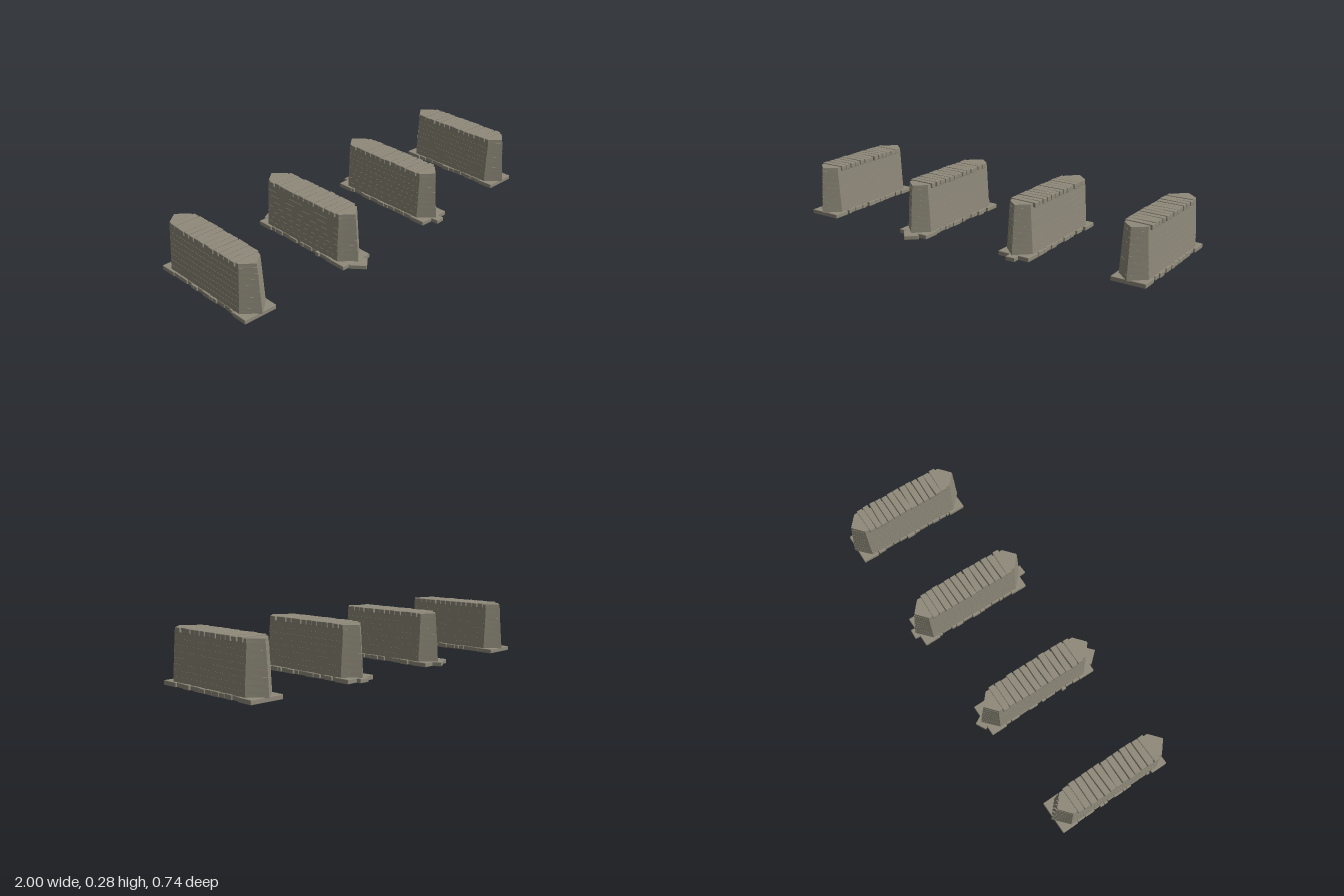
import * as THREE from 'three';
import { RoundedBoxGeometry } from 'three/addons/geometries/RoundedBoxGeometry.js';

const stone = new THREE.MeshStandardMaterial({ color: 0x8f8a7a });
stone.name = 'weathered stone';

// Small seeded generator for uneven masonry
let seed = 7;
const rand = (a, b) => {
  seed = (seed * 16807) % 2147483647;
  return a + (b - a) * (seed / 2147483647);
};

function add(parent, name, geometry, x = 0, y = 0, z = 0, turn = 0) {
  const mesh = new THREE.Mesh(geometry, stone);
  mesh.name = name;
  mesh.position.set(x, y, z);
  mesh.rotation.y = turn;
  parent.add(mesh);
  return mesh;
}

// Prism from a plan outline, its top narrowed in x and z
function taperedPrism(points, height, scaleX = 1, scaleZ = 1) {
  const shape = new THREE.Shape(points.map(([x, z]) => new THREE.Vector2(x, -z)));
  const geo = new THREE.ExtrudeGeometry(shape, { depth: height, bevelEnabled: false });
  geo.rotateX(-Math.PI / 2);
  const p = geo.attributes.position;
  for (let i = 0; i < p.count; i++) {
    if (p.getY(i) > height / 2) {
      p.setX(i, p.getX(i) * scaleX);
      p.setZ(i, p.getZ(i) * scaleZ);
    }
  }
  geo.computeVertexNormals();
  return geo;
}

// Long hexagon with a pointed nose at each end
const hexagon = (w, shoulder, tip) => [
  [0, tip], [w, shoulder], [w, -shoulder], [0, -tip], [-w, -shoulder], [-w, shoulder],
];

function createPier(extraSlabs) {
  const pier = new THREE.Group();

  // Battered body: courses that step in slightly as they rise
  const courses = 8, y0 = 0.02, y1 = 0.25, h = (y1 - y0) / courses;
  for (let i = 0; i < courses; i++) {
    const t = i / courses;
    const w = 0.075 - 0.015 * t;
    const tip = 0.329 - 0.018 * t;
    add(pier, 'bodyCourse', taperedPrism(hexagon(w, 0.26, tip), h, 0.985, 0.997), 0, y0 + i * h, 0);
  }

  // Pointed stones closing the top at both noses
  for (const s of [1, -1]) {
    const nose = [[0, 0.31], [0.061, 0.258], [0.061, 0.2], [-0.061, 0.2], [-0.061, 0.258]];
    add(pier, 'noseStone', taperedPrism(nose, 0.02, 0.98, 0.997), 0, 0.25, 0, s > 0 ? 0 : Math.PI);
  }

  // Row of uneven coping stones across the top
  const caps = 13, pitch = 0.0368;
  for (let i = 0; i < caps; i++) {
    const geo = new RoundedBoxGeometry(rand(0.136, 0.146), rand(0.023, 0.027), rand(0.031, 0.035), 1, 0.003);
    add(pier, 'copingStone', geo, rand(-0.002, 0.002), 0.2625, (i - (caps - 1) / 2) * pitch, rand(-0.04, 0.04));
  }

  // Footing of slabs laid crosswise, with a broad one at each end
  for (const s of [1, -1]) {
    add(pier, 'footingEndSlab', new RoundedBoxGeometry(0.176, 0.023, 0.09, 1, 0.003), 0, 0.0115, s * 0.272, rand(-0.02, 0.02));
  }
  let z = -0.226;
  while (z < 0.21) {
    const d = Math.min(rand(0.02, 0.06), 0.226 - z);
    const geo = new RoundedBoxGeometry(rand(0.157, 0.174), rand(0.021, 0.025), d - 0.002, 1, 0.003);
    add(pier, 'footingSlab', geo, rand(-0.004, 0.004), 0.012, z + d / 2, rand(-0.015, 0.015));
    z += d;
  }

  // Loose slabs poking out under the noses
  for (const [x, zc, w, d, turn] of extraSlabs) {
    add(pier, 'looseSlab', new RoundedBoxGeometry(w, 0.022, d, 1, 0.003), x, 0.011, zc, turn);
  }
  return pier;
}

export function createModel() {
  const model = new THREE.Group();
  model.name = 'bridgePiers';

  // Position x, z, turn, and loose slabs (x, z, width, depth, turn)
  const layout = [
    [-0.906, -0.018, -0.034, []],
    [-0.3, -0.018, -0.036, [[0, 0.33, 0.075, 0.085, 0.72], [-0.004, -0.318, 0.06, 0.06, 0.5]]],
    [0.3, -0.026, -0.043, [[0.004, 0.325, 0.05, 0.06, 0.07], [0, -0.316, 0.053, 0.055, -0.05]]],
    [0.896, -0.03, -0.048, []],
  ];
  layout.forEach(([x, z, turn, slabs], i) => {
    const pier = createPier(slabs);
    pier.name = `pier${i + 1}`;
    pier.position.set(x, 0, z);
    pier.rotation.y = turn;
    model.add(pier);
  });
  return model;
}
